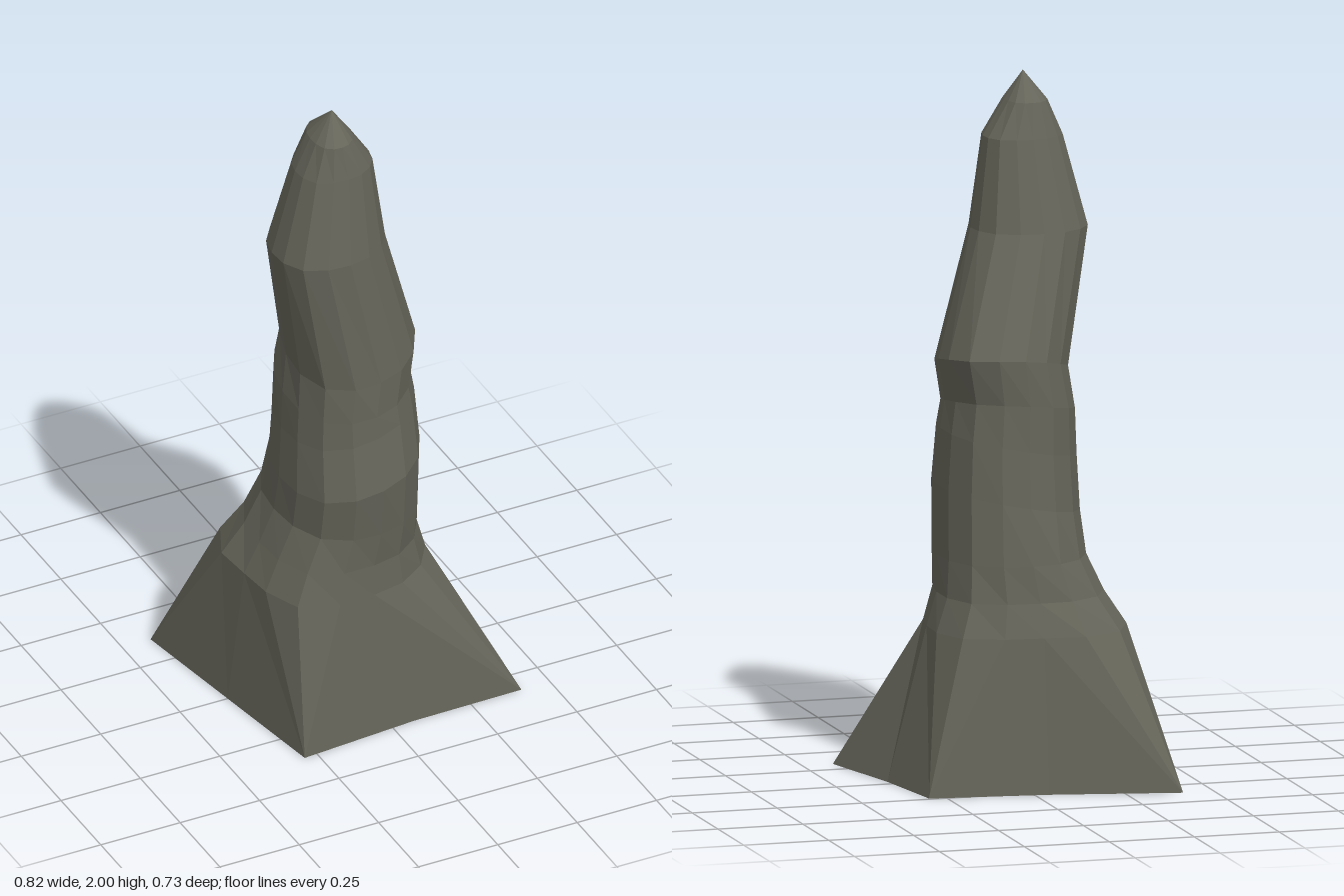
import * as THREE from 'three';

const SIDES = 16;

// Foot outline: corners and bent edge middles, from the front left corner round by the front
const FOOT = [[0.41, 0.33], [0.07, 0.335], [-0.29, 0.365], [-0.35, 0],
  [-0.41, -0.365], [-0.04, -0.285], [0.3, -0.24], [0.34, 0.03]];

// Shaft rings: height, x and z limits, lean (back or side higher),
// swell of the back right corner, widening along the other diagonal
const RINGS = [
  { y: 0.44, x: [-0.3, 0.222], z: [-0.222, 0.302], swell: 1.28, wide: 0.2 },
  { y: 0.535, x: [-0.265, 0.192], z: [-0.205, 0.296], swell: 1.14, wide: 0.16 },
  { y: 0.64, x: [-0.228, 0.19], z: [-0.2, 0.305], swell: 1.06 },
  { y: 0.8, x: [-0.225, 0.185], z: [-0.18, 0.325], side: 0.04 },
  { y: 0.96, x: [-0.215, 0.175], z: [-0.165, 0.295], side: 0.04 },
  { y: 1.06, x: [-0.21, 0.162], z: [-0.16, 0.29], back: 0.03, side: 0.02 },
  { y: 1.18, x: [-0.2, 0.182], z: [-0.167, 0.285], back: 0.04, side: 0.02, swell: 0.92, wide: 0.14 },
  { y: 1.56, x: [-0.27, 0.07], z: [-0.042, 0.275] },
  { y: 1.82, x: [-0.2, 0.032], z: [0.015, 0.232] },
  { y: 1.92, x: [-0.155, -0.033], z: [0.045, 0.212] },
];
const TIP = [-0.09, 2, 0.135];

// Three neighbours gather at each corner, one at each edge middle
function footRing() {
  return Array.from({ length: SIDES }, (_, k) => {
    const [x, z] = FOOT[k % 4 === 2 ? k >> 1 : (Math.round(k / 4) % 4) * 2];
    return [x, 0, z];
  });
}

function shaftRing({ y, x, z, back = 0, side = 0, swell = 1, wide = 0.1 }) {
  return Array.from({ length: SIDES }, (_, k) => {
    const a = Math.PI / 4 + (k / SIDES) * Math.PI * 2;
    const c = Math.cos(a), s = Math.sin(a);
    const corner = Math.max(0, Math.cos(a - Math.PI * 1.25)) ** 4;
    const diagonal = Math.max(0, -2 * c * s) ** 2;
    const r = 1 + (swell - 1) * corner + wide * diagonal;
    return [
      (x[0] + x[1]) / 2 + c * r * (x[1] - x[0]) / 2,
      y - back * s + side * c,
      (z[0] + z[1]) / 2 + s * r * (z[1] - z[0]) / 2,
    ];
  });
}

export function createModel() {
  const group = new THREE.Group();
  group.name = 'rockSpire';

  const rings = [footRing(), ...RINGS.map(shaftRing)];
  const pos = [];
  const tri = (a, b, c) => pos.push(...a, ...b, ...c);
  const top = rings[rings.length - 1];

  for (let k = 0; k < SIDES; k++) {
    const n = (k + 1) % SIDES;
    // sides
    for (let i = 0; i < rings.length - 1; i++) {
      const lo = rings[i], hi = rings[i + 1];
      tri(lo[k], hi[k], hi[n]);
      // skip the empty triangles where foot points meet
      if (i > 0 || k % 4 === 1 || k % 4 === 2) tri(lo[k], hi[n], lo[n]);
    }
    // pointed tip
    tri(top[k], TIP, top[n]);
  }
  // flat underside
  FOOT.forEach(([x, z], k) => {
    const [nx, nz] = FOOT[(k + 1) % FOOT.length];
    tri([0, 0, 0], [x, 0, z], [nx, 0, nz]);
  });

  const geometry = new THREE.BufferGeometry();
  geometry.setAttribute('position', new THREE.Float32BufferAttribute(pos, 3));
  geometry.computeVertexNormals();

  const material = new THREE.MeshStandardMaterial({ color: 0x66655a, flatShading: true });
  const spire = new THREE.Mesh(geometry, material);
  spire.name = 'spire';
  group.add(spire);
  return group;
}
